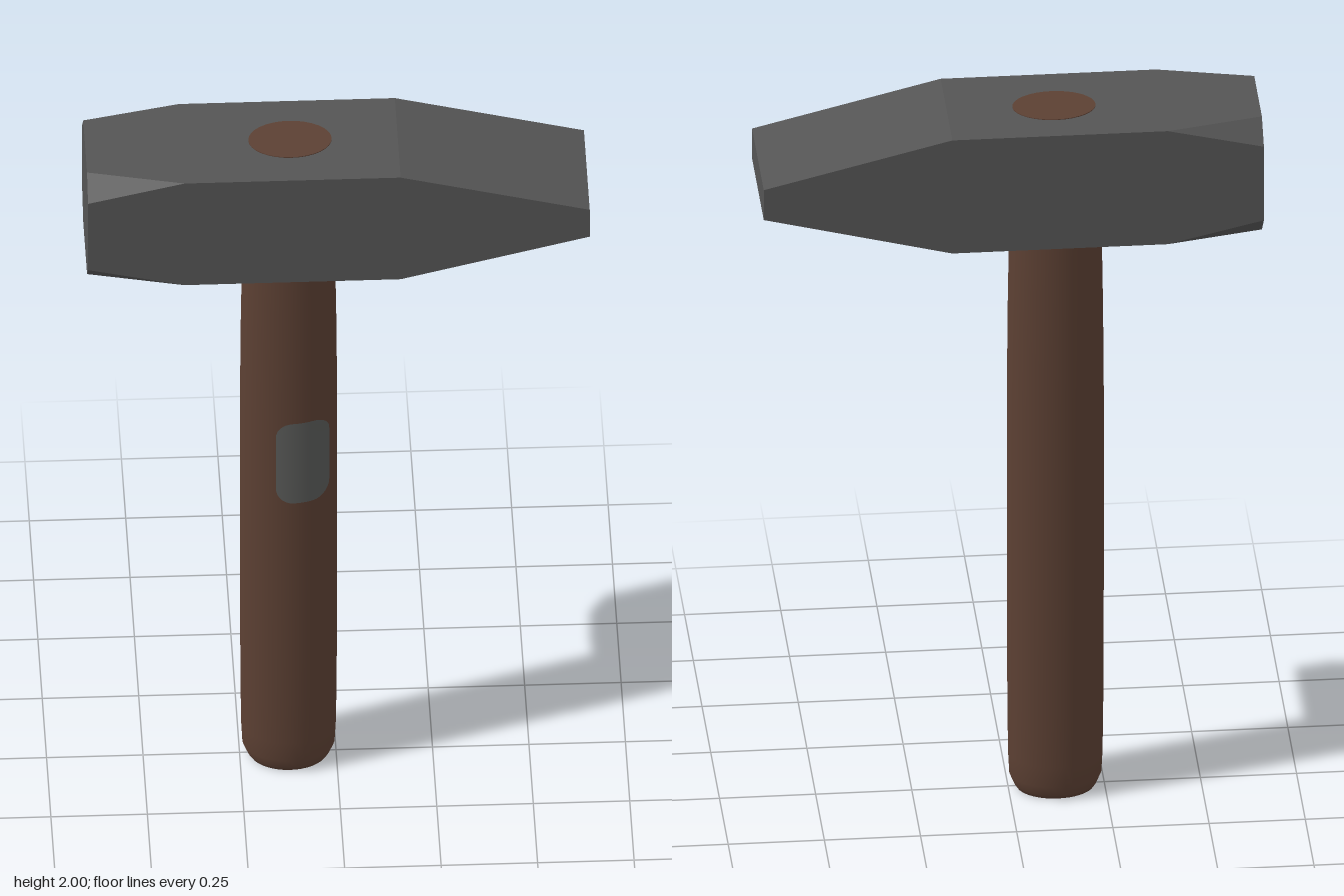
import * as THREE from 'three';
import { ConvexGeometry } from 'three/addons/geometries/ConvexGeometry.js';

const steel = new THREE.MeshStandardMaterial({ name: 'darkSteel', color: 0x555555 });
const wood = new THREE.MeshStandardMaterial({ name: 'brownWood', color: 0x5c4033 });
const label = new THREE.MeshStandardMaterial({ name: 'greyLabel', color: 0x595a58, side: THREE.DoubleSide });

const AXIS_X = -0.123, RX = 0.126, RZ = 0.1;

function addMesh(group, name, geometry, material) {
  const mesh = new THREE.Mesh(geometry, material);
  mesh.name = name;
  group.add(mesh);
  return mesh;
}

// Convex head: chamfered square face at -x, wedge peen at +x
function headGeometry() {
  const points = [];
  const mid = 1.8335, half = 0.1665, depth = 0.168;
  for (const sz of [-1, 1]) {
    for (const sy of [-1, 1]) {
      const add = (x, y, z) => points.push(new THREE.Vector3(x, y, sz * z));
      add(-0.65, mid + sy * (half - 0.058), depth);
      add(-0.65, mid + sy * half, depth - 0.058);
      add(-0.4, mid + sy * half, depth);
      add(0.16, mid + sy * half, depth);
      add(0.65, mid + sy * 0.044, depth);
    }
  }
  return new ConvexGeometry(points);
}

// Oval handle, rounded at the foot and slimmer towards the head
function handleGeometry() {
  const profile = [
    [0, 0], [0.8, 0], [0.86, 0.012], [0.95, 0.04], [0.975, 0.1], [0.99, 0.25], [1, 0.6],
    [1, 1.15], [0.985, 1.4], [0.96, 1.6], [0.93, 1.75], [0.86, 1.98],
  ].map(([r, y]) => new THREE.Vector2(r, y));
  const geometry = new THREE.LatheGeometry(profile, 40);
  geometry.scale(RX, 1, RZ);
  return geometry;
}

// Rounded patch wrapped over the oval front of the handle
function labelGeometry() {
  const w = 0.07, h = 0.13, corner = 0.045, cx = -0.09, cy = 1.02;
  const geometry = new THREE.PlaneGeometry(2, 2, 12, 24);
  const p = geometry.attributes.position;
  for (let i = 0; i < p.count; i++) {
    const y = Math.sin(p.getY(i) * Math.PI / 2) * h;
    const over = Math.max(0, Math.abs(y) - (h - corner));
    const halfWidth = w - corner + Math.sqrt(Math.max(0, corner * corner - over * over));
    const x = cx + p.getX(i) * halfWidth;
    const u = (x - AXIS_X) / RX;
    p.setXYZ(i, x, cy + y, RZ * Math.sqrt(1 - u * u) + 0.002);
  }
  geometry.computeVertexNormals();
  return geometry;
}

export function createModel() {
  const hammer = new THREE.Group();
  hammer.name = 'hammer';

  addMesh(hammer, 'head', headGeometry(), steel);
  addMesh(hammer, 'handle', handleGeometry(), wood).position.x = AXIS_X;
  addMesh(hammer, 'handleLabel', labelGeometry(), label);

  // Handle end showing through the top of the head
  const end = new THREE.CylinderGeometry(1, 1, 0.006, 32);
  end.scale(0.108, 1, 0.077);
  addMesh(hammer, 'handleEnd', end, wood).position.set(-0.119, 1.999, -0.005);

  return hammer;
}
